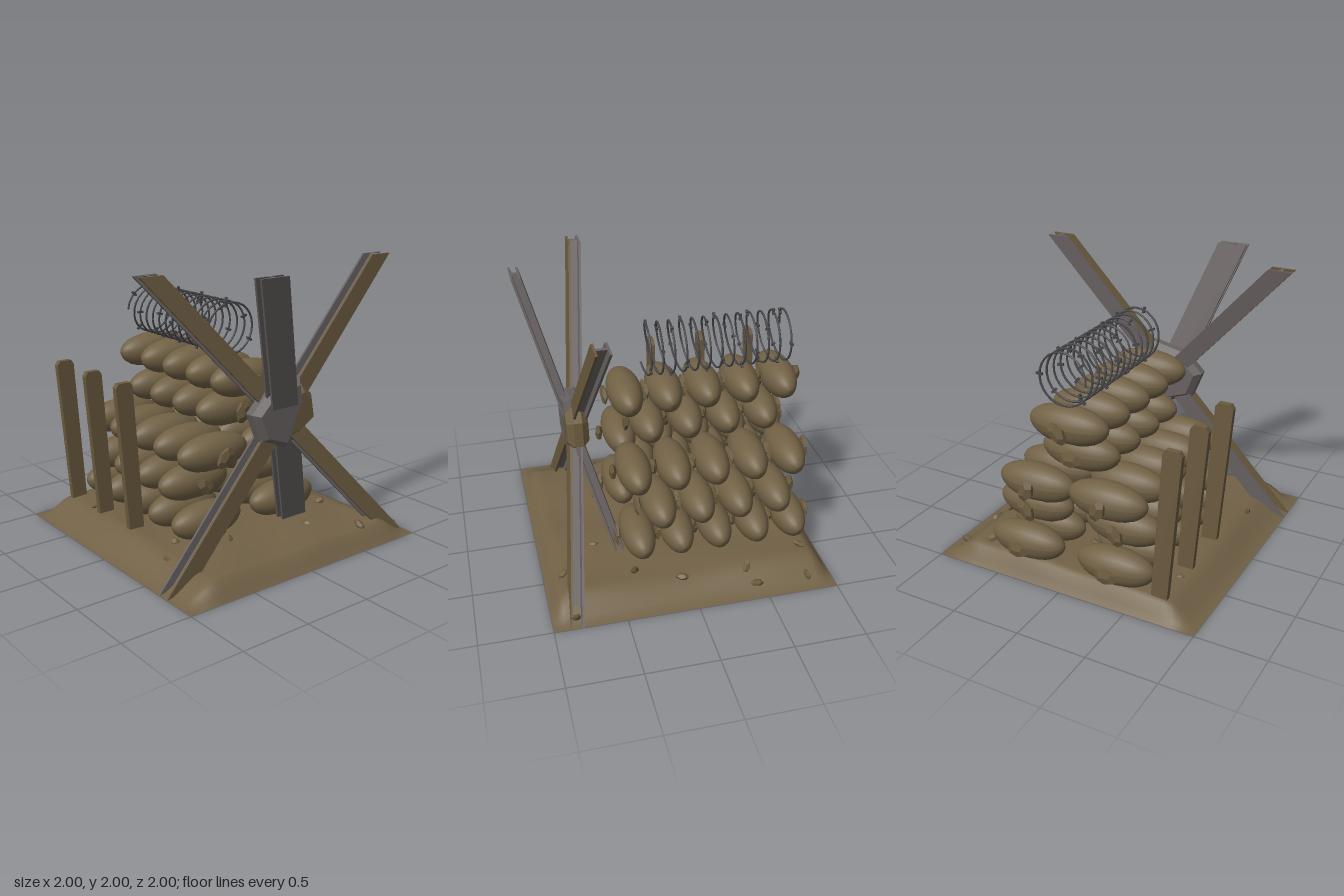
import * as THREE from 'three';

const mat = (name, color, double) => {
  const m = new THREE.MeshStandardMaterial({ color });
  m.name = name;
  if (double) m.side = THREE.DoubleSide;
  return m;
};

export function createModel() {
  const model = new THREE.Group();
  model.name = 'barricade';
  const earth = mat('earth brown', 0x716146, true);
  const burlap = mat('burlap brown', 0x716145);
  const wood = mat('wood brown', 0x6a5a3e);
  const steel = mat('steel grey', 0x686261);
  const wire = mat('wire dark grey', 0x48474a);
  for (const m of [wood, steel]) m.flatShading = true;

  const add = (name, geo, material, parent = model) => {
    const mesh = new THREE.Mesh(geo, material);
    mesh.name = name;
    parent.add(mesh);
    return mesh;
  };
  const group = (name) => {
    const g = new THREE.Group();
    g.name = name;
    model.add(g);
    return g;
  };

  // Ground: open sheet with sloping rims and gentle bumps
  const rise = (v, w) => THREE.MathUtils.smoothstep(1 - Math.abs(v), 0, w);
  const height = (x, z) => rise(x, 0.1) * rise(z, 0.26) *
    (0.125 + 0.008 * Math.sin(5 * x + 2 * z) + 0.006 * Math.sin(9 * z - 4 * x));
  const ground = new THREE.PlaneGeometry(2, 2, 48, 48).rotateX(-Math.PI / 2);
  const gp = ground.attributes.position;
  for (let i = 0; i < gp.count; i++) gp.setY(i, height(gp.getX(i), gp.getZ(i)));
  ground.computeVertexNormals();
  add('ground', ground, earth);

  // Sandbags: long ellipsoids with flattened undersides
  const bag = new THREE.SphereGeometry(1, 24, 16).rotateX(Math.PI / 2);
  const bp = bag.attributes.position;
  for (let i = 0; i < bp.count; i++) {
    const y = bp.getY(i);
    bp.setXYZ(i, bp.getX(i) * 0.122, y > 0 ? y * 0.125 : Math.max(y * 0.145, -0.115), bp.getZ(i) * 0.288);
  }
  bag.computeVertexNormals();
  const knot = new THREE.DodecahedronGeometry(1).scale(0.026, 0.058, 0.085);
  const bags = group('sandbags');
  const layers = [
    { count: 5, x: -0.83, z: [0.345, -0.345] },
    { count: 4, x: -0.7, z: [0.345, -0.345] },
    { count: 5, x: -0.83, z: [0.292, -0.25] },
    { count: 4, x: -0.7, z: [0.02] },
    { count: 5, x: -0.83, z: [0.01] },
  ];
  layers.forEach(({ count, x, z }, layer) => {
    for (const bz of z) for (let i = 0; i < count; i++) {
      const bx = x + i * 0.281, by = 0.237 + layer * 0.24;
      add('sandbag', bag, burlap, bags).position.set(bx, by, bz);
      for (const s of [-1, 1]) {
        const k = add('bagKnot', knot, wood, bags);
        k.position.set(bx + s * 0.147, by - 0.015, bz);
        k.rotation.x = 0.5 * i + layer;
      }
    }
  });

  // Posts: leaning flat stakes with chamfered tops
  const stake = new THREE.Shape([
    [0.635, 0.08], [0.75, 0.08], [0.836, 1.17], [0.815, 1.2], [0.725, 1.2], [0.704, 1.17],
  ].map(([a, b]) => new THREE.Vector2(a, b)));
  const stakeGeo = new THREE.ExtrudeGeometry(stake, { depth: 0.042, bevelEnabled: false })
    .rotateY(-Math.PI / 2).translate(0.021, 0, 0);
  for (const x of [-0.865, -0.47, -0.07]) add('post', stakeGeo, wood).position.x = x;

  // Wire coil: slightly tilted helix along x with small barbs
  const turns = 12.85, pitch = 0.083, radius = 0.182;
  const coilPoint = (t) => {
    const a = t * turns * Math.PI * 2;
    return new THREE.Vector3(
      -0.9 + t * turns * pitch + 0.016 * Math.sin(a),
      1.505 + radius * Math.sin(a), radius * Math.cos(a));
  };
  class Helix extends THREE.Curve {
    getPoint(t, target = new THREE.Vector3()) { return target.copy(coilPoint(t)); }
  }
  const coil = group('wireCoil');
  add('wire', new THREE.TubeGeometry(new Helix(), 330, 0.0075, 6), wire, coil);
  const barbGeo = new THREE.BoxGeometry(0.018, 0.016, 0.045);
  for (let i = 0; i < 34; i++) {
    const t = (i + 0.3) / 34;
    const barb = add('barb', barbGeo, wire, coil);
    barb.position.copy(coilPoint(t));
    barb.rotation.x = -t * turns * Math.PI * 2;
  }

  // Steel obstacle: three crossed I-beams, cut level at both ends
  const obstacle = group('beamObstacle');
  const prism = (name, w, d, offset, from, to, material) => {
    const geo = new THREE.BoxGeometry(w, 1, d);
    const p = geo.attributes.position;
    for (let i = 0; i < p.count; i++) {
      const end = p.getY(i) > 0 ? to : from;
      p.setXYZ(i, p.getX(i) + end[0] + offset, end[1], p.getZ(i) + end[2]);
    }
    geo.computeVertexNormals();
    add(name, geo, material, obstacle);
  };
  const beam = (from, to, w, d, left, right) => {
    const t = 0.016;
    prism('beamFlange', t, d, (w - t) / 2, from, to, left);
    prism('beamFlange', t, d, (t - w) / 2, from, to, right);
    prism('beamWeb', w - t, 0.03, 0, from, to, steel);
  };
  beam([0.42, 0.07, -0.34], [0.965, 2, 0.36], 0.07, 0.22, steel, steel);
  beam([0.84, 0, -0.915], [0.475, 2, 0.915], 0.09, 0.17, wood, steel);
  beam([0.7, 0, 0.915], [0.6, 2, -0.915], 0.1, 0.17, wood, steel);

  // Hub: faceted block around the crossing, half steel and half rusted
  const hub = (name, pts, material) => {
    const geo = new THREE.ExtrudeGeometry(
      new THREE.Shape(pts.map(([z, y]) => new THREE.Vector2(z, y))),
      { depth: 0.06, bevelThickness: 0.045, bevelSize: 0.04, bevelOffset: -0.04, bevelSegments: 1 });
    add(name, geo.rotateY(-Math.PI / 2).translate(0.695, 0, 0), material, obstacle);
  };
  hub('hubSteel', [[0.28, 1.06], [0.14, 1.2], [-0.13, 1.26], [-0.16, 1.1], [-0.02, 0.78], [0.2, 0.86]], steel);
  hub('hubRust', [[0.06, 1.14], [-0.15, 1.2], [-0.24, 1.12], [-0.27, 0.95], [-0.12, 0.86], [0, 0.84]], wood);

  // Loose stones half sunk in the ground
  const stoneGeo = new THREE.DodecahedronGeometry(1).scale(0.022, 0.03, 0.05);
  const stones = [
    [-0.81, -0.9], [-0.44, -0.9], [-0.39, -0.8], [0.07, -0.78], [0.38, -0.66], [0.87, -0.58],
    [-0.83, -0.66], [0.84, -0.93], [0.44, 0.78], [-0.6, 0.7], [-0.2, 0.1], [0.5, 0.3],
    [0.2, -0.05], [-0.5, 0], [0.6, -0.3], [0.3, 0.6],
  ];
  stones.forEach(([x, z], i) => {
    const s = add('stone', stoneGeo, wood);
    s.position.set(x, height(x, z) + (i < 8 ? 0.012 : -0.012), z);
    s.rotation.set(i, i * 1.7, i * 0.6);
  });

  return model;
}
